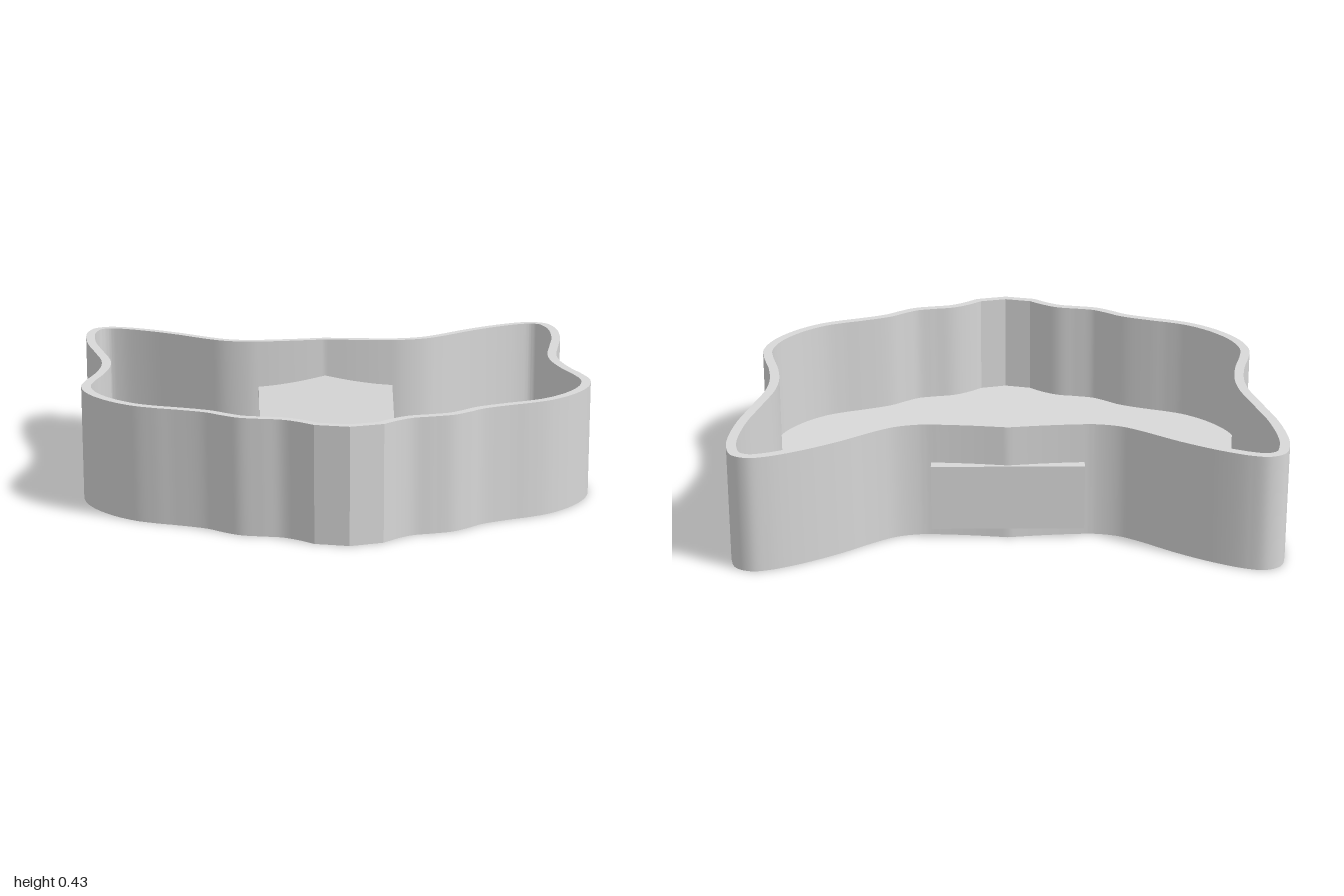
import * as THREE from 'three';
import { toCreasedNormals } from 'three/addons/utils/BufferGeometryUtils.js';

const HEIGHT = 0.433, WALL = 0.036, FLOOR = 0.04;

// Half of the outline as [x, z], from the middle of the back round the ear to the chin
const HALF = [
  [0, -0.64], [0.128, -0.622], [0.25, -0.611], [0.32, -0.61], [0.406, -0.632],
  [0.476, -0.676], [0.61, -0.783], [0.743, -0.87], [0.85, -0.921], [0.914, -0.932],
  [0.97, -0.902], [0.994, -0.83], [1, -0.75], [0.985, -0.58], [0.947, -0.4],
  [0.914, -0.24], [0.909, -0.13], [0.925, 0], [0.957, 0.136], [0.968, 0.23],
  [0.94, 0.35], [0.866, 0.47], [0.77, 0.56], [0.69, 0.602], [0.61, 0.633],
  [0.5, 0.684], [0.445, 0.73], [0.385, 0.772], [0.31, 0.793], [0.235, 0.81],
  [0.18, 0.844], [0.123, 0.896],
];

// Closed clockwise outline in shape space (shape y = -z), mirrored across x = 0
function outline() {
  const curve = new THREE.CatmullRomCurve3(HALF.map(([x, z]) => new THREE.Vector3(x, -z, 0)));
  const half = curve.getPoints(217).map((p) => new THREE.Vector2(p.x, p.y));
  const mirrored = half.slice(1).reverse().map((p) => new THREE.Vector2(-p.x, p.y));
  return [...half, new THREE.Vector2(0, -0.93), ...mirrored];
}

// Move every point inward by the wall thickness
function inset(points, d) {
  const n = points.length;
  return points.map((p, i) => {
    const a = p.clone().sub(points[(i + n - 1) % n]).normalize();
    const b = points[(i + 1) % n].clone().sub(p).normalize();
    const t = a.clone().add(b).normalize();
    const miter = d / Math.max(0.7, t.dot(a));
    return new THREE.Vector2(p.x + t.y * miter, p.y - t.x * miter);
  });
}

// Extrude a plan shape upward from y = 0
function upright(shape, depth) {
  const g = new THREE.ExtrudeGeometry(shape, { depth, bevelEnabled: false });
  g.rotateX(-Math.PI / 2);
  return toCreasedNormals(g, 0.35);
}

export function createModel() {
  const group = new THREE.Group();
  group.name = 'earedTray';
  const grey = new THREE.MeshStandardMaterial({ color: 0xd8d8d8 });
  grey.name = 'plain grey';
  const add = (name, geometry) => {
    const mesh = new THREE.Mesh(geometry, grey);
    mesh.name = name;
    group.add(mesh);
  };

  const outer = outline();
  const inner = inset(outer, WALL);

  // Wall running round the tray; the hole runs the other way so its faces look inward
  const ring = new THREE.Shape(outer);
  ring.holes.push(new THREE.Path([...inner].reverse()));
  add('wall', upright(ring, HEIGHT));

  // Floor inside the wall
  add('floor', upright(new THREE.Shape(inner), FLOOR));

  // Wedge through the back wall: side profile as [z, y], extruded across x
  const profile = [
    [-0.412, 0.03], [-0.412, 0.042], [-0.609, 0.285], [-0.652, 0.285], [-0.652, 0.04], [-0.6, 0.03],
  ];
  profile[4][1] = profile[5][1] = 0.04;
  const side = new THREE.Shape(profile.map(([z, y]) => new THREE.Vector2(-z, y)));
  const wedge = new THREE.ExtrudeGeometry(side, { depth: 0.56, bevelEnabled: false });
  wedge.translate(0, 0, -0.28);
  wedge.rotateY(Math.PI / 2);
  add('backWedge', wedge);

  return group;
}
